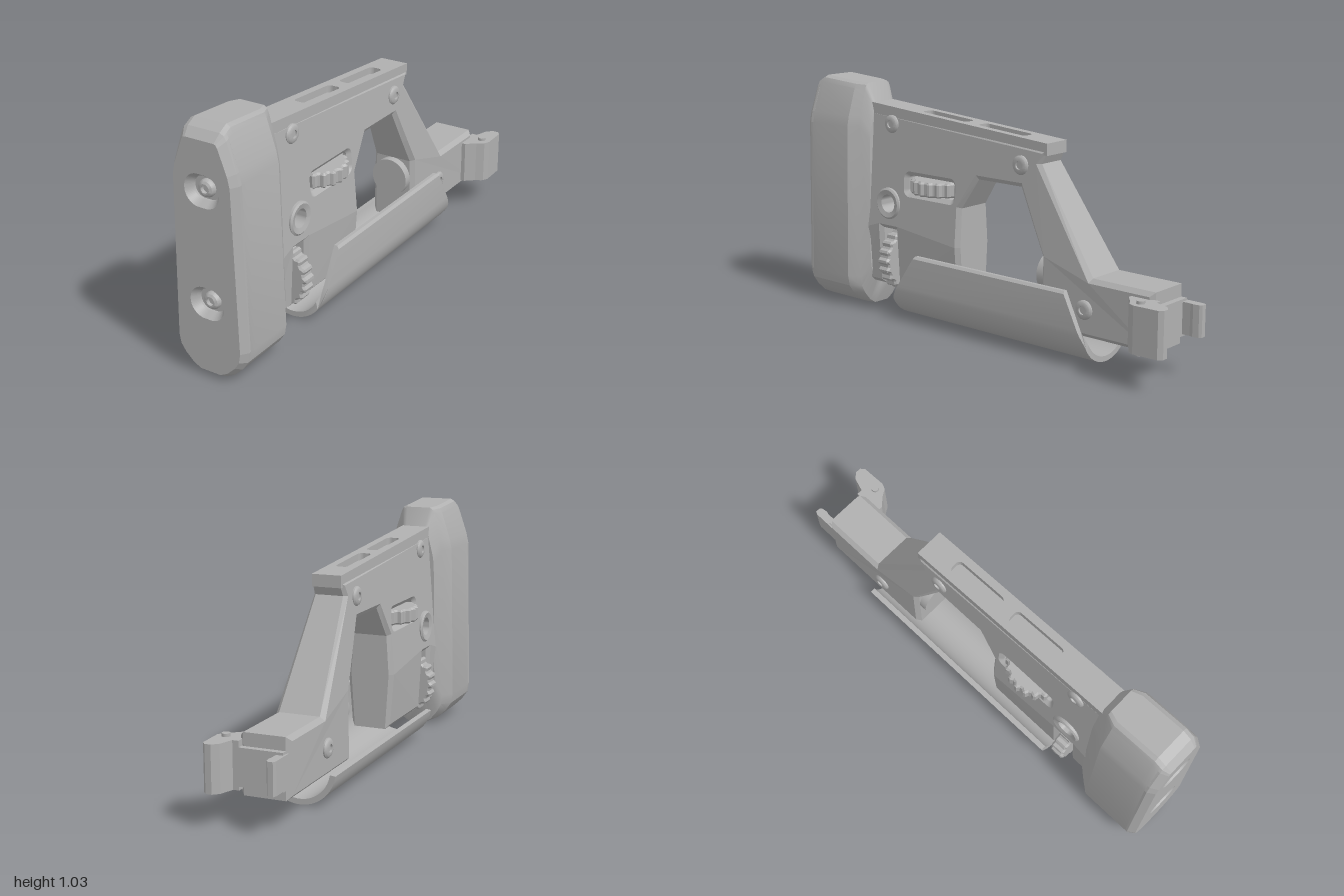
import * as THREE from 'three';
import { toCreasedNormals } from 'three/addons/utils/BufferGeometryUtils.js';

const X0 = -0.023; // centre plane of the stock
const V = (x, y) => new THREE.Vector2(x, y);
const poly = (pts) => new THREE.Shape(pts.map(([a, b]) => V(a, b)));

// Move every vertex by a rule and refresh the normals
function warp(geo, rule) {
  const p = geo.attributes.position, v = new THREE.Vector3();
  for (let i = 0; i < p.count; i++) {
    v.fromBufferAttribute(p, i);
    rule(v);
    p.setXYZ(i, v.x, v.y, v.z);
  }
  geo.computeVertexNormals();
  return geo;
}

// Rounded slot outline, centred at (cx, cy)
function slot(cx, cy, hw, hh, r) {
  const s = new THREE.Path();
  [[1, 1, 0], [-1, 1, 0.5], [-1, -1, 1], [1, -1, 1.5]].forEach(([sx, sy, a]) =>
    s.absarc(cx + sx * (hw - r), cy + sy * (hh - r), r, a * Math.PI, (a + 0.5) * Math.PI, false));
  return s;
}

// Closed solid through rings of equal point count
function loft(rings) {
  const n = rings[0].length, pos = [], idx = [];
  rings.forEach((r) => r.forEach((p) => pos.push(...p)));
  for (let k = 0; k < rings.length - 1; k++) {
    for (let i = 0; i < n; i++) {
      const a = k * n + i, b = k * n + (i + 1) % n;
      idx.push(a, b, b + n, a, b + n, a + n);
    }
  }
  const last = (rings.length - 1) * n;
  for (let i = 1; i < n - 1; i++) idx.push(0, i + 1, i, last, last + i, last + i + 1);
  const g = new THREE.BufferGeometry();
  g.setAttribute('position', new THREE.Float32BufferAttribute(pos, 3));
  g.setIndex(idx);
  return toCreasedNormals(g, 0.4);
}

export function createModel() {
  const grey = new THREE.MeshStandardMaterial({ color: 0xb0b0b0 });
  const model = new THREE.Group();
  const add = (name, geo, x = 0, y = 0, z = 0, parent = model) => {
    const m = new THREE.Mesh(geo, grey);
    m.name = name;
    m.position.set(x, y, z);
    parent.add(m);
    return m;
  };

  // Main frame: side profile (z, y), thinner towards the top
  const frame = poly([
    [0.72, 0.915], [0.645, 0.91], [-0.337, 0.836], [-0.31, 0.78], [-0.593, 0.364], [-0.89, 0.363],
    [-0.89, 0.12], [-0.34, 0.12], [-0.34, 0.41], [-0.285, 0.52], [-0.21, 0.675], [0.02, 0.675],
    [0.11, 0.54], [0.11, 0.37], [0.11, 0.13], [0.49, 0.13], [0.49, 0.39], [0.57, 0.39],
    [0.57, 0.13], [0.72, 0.13], [0.72, 0.37]]);
  frame.holes.push(slot(0.29, 0.605, 0.134, 0.038, 0.015));
  frame.holes.push(new THREE.Path().absarc(0.53, 0.505, 0.05, 0, Math.PI * 2, true));
  const halfWidth = (y, z) => {
    if (y > 0.37) return 0.105 - (y - 0.37) * 0.08;
    return z < 0 ? 0.105 : 0.105 - (0.37 - y) * 0.08;
  };
  const frameGeo = new THREE.ExtrudeGeometry(frame, {
    depth: 0.164, bevelEnabled: true, bevelSize: 0.018, bevelThickness: 0.018,
    bevelOffset: -0.018, bevelSegments: 1, curveSegments: 12 });
  frameGeo.translate(0, 0, -0.082).rotateY(-Math.PI / 2);
  add('frame', warp(frameGeo, (v) => { v.x *= halfWidth(v.y, v.z) / 0.1; }), X0);

  // Sloping top rail with two slots
  const rail = poly([[-0.063, -0.66], [0.063, -0.66], [0.063, 0.337], [-0.063, 0.337]]);
  [-0.255, 0.065].forEach((c) => rail.holes.push(slot(0, c, 0.029, 0.127, 0.02)));
  const railGeo = new THREE.ExtrudeGeometry(rail, { depth: 0.05, bevelEnabled: false, curveSegments: 5 });
  railGeo.rotateX(-Math.PI / 2);
  add('topRail', warp(railGeo, (v) => { v.y += 0.8415 + (v.z + 0.337) * 0.0757 - 0.026; }), X0);

  // Butt pad: half outline (x, y) mirrored, counter-clockwise from the bottom
  const half = [[0.05, 0.01], [0.09, 0.03], [0.13, 0.068], [0.155, 0.105], [0.163, 0.15],
    [0.147, 0.83], [0.137, 0.88], [0.098, 1.01], [0.088, 1.03], [0.07, 1.04]];
  const outline = [...half, ...half.slice().reverse().map(([x, y]) => [-x, y])];
  const topSlope = (y, z) => {
    const t = Math.max(0, (y - 0.85) / 0.19);
    return y - t * (z > 0.93 ? (z - 0.93) * 0.55 : (0.93 - z) * 0.07);
  };
  const ring = (z, sx, y0, y1) => outline.map(([x, y]) =>
    [x * sx, topSlope(y0 + (y - 0.01) / 1.03 * (y1 - y0), z), z]);
  add('buttPad', loft([ring(0.645, 0.62, 0.12, 0.94), ring(0.685, 0.78, 0.01, 1.04),
    ring(0.73, 1, 0.01, 1.04), ring(0.93, 1, 0.01, 1.04), ring(0.96, 1, 0.01, 1.04)]), X0);
  const face = poly(outline);
  const screwHeights = [0.325, 0.787];
  screwHeights.forEach((y) => face.holes.push(slot(0, y, 0.058, 0.046, 0.044)));
  const faceGeo = new THREE.ExtrudeGeometry(face, {
    depth: 0.015, bevelEnabled: true, bevelSize: 0.02, bevelThickness: 0.03,
    bevelOffset: -0.02, bevelSegments: 1, curveSegments: 8 });
  faceGeo.translate(0, 0, 0.955);
  add('buttPadFace', warp(faceGeo, (v) => { v.y = topSlope(v.y, v.z); }), X0);

  // Domed screw with a hexagonal socket, pointing up +y
  const screwGeo = (r, h) => new THREE.LatheGeometry([V(0, h * 0.4), V(r * 0.42, h * 0.4), V(r * 0.42, h),
    V(r * 0.6, h), V(r * 0.85, h * 0.75), V(r, h * 0.3), V(r, -h)].reverse(), 20);
  const padScrew = toCreasedNormals(screwGeo(0.036, 0.025), 0.5).rotateX(Math.PI / 2);
  screwHeights.forEach((y) => add('padScrew', padScrew, X0, y, 0.96));

  // Side screws and through bushing
  for (const s of [1, -1]) {
    [[0.53, 0.855], [-0.21, 0.765], [-0.565, 0.235]].forEach(([z, y]) => {
      const g = toCreasedNormals(screwGeo(0.04, 0.014), 0.5).rotateZ(-s * Math.PI / 2);
      add('sideScrew', g, X0 + s * halfWidth(y, z), y, z);
    });
  }
  const bush = new THREE.LatheGeometry([V(0.04, -0.1), V(0.062, -0.106), V(0.07, -0.1), V(0.07, 0.1),
    V(0.062, 0.106), V(0.04, 0.1), V(0.04, -0.1)], 28);
  add('bushing', toCreasedNormals(bush, 0.5).rotateZ(Math.PI / 2), X0, 0.505, 0.53);

  // Scalloped adjusting wheels
  const teeth = 20, rim = [];
  for (let i = 0; i < teeth * 4; i++) {
    const a = (i / (teeth * 4)) * Math.PI * 2, r = i % 4 < 2 ? 0.142 : 0.131;
    rim.push([Math.cos(a) * r, Math.sin(a) * r]);
  }
  const wheelGeo = new THREE.ExtrudeGeometry(poly(rim), {
    depth: 0.048, bevelEnabled: true, bevelSize: 0.008, bevelThickness: 0.008, bevelOffset: -0.008, bevelSegments: 1 });
  wheelGeo.translate(0, 0, -0.024);
  add('heightWheel', wheelGeo, X0, 0.243, 0.53);
  add('lengthWheel', wheelGeo.clone().rotateX(Math.PI / 2), X0, 0.605, 0.288);

  // Lower cover: J section, tall on the left, open on the right
  const arc = (r) => Array.from({ length: 21 }, (_, i) => {
    const a = -i / 20 * Math.PI * 0.95;
    return [r * Math.cos(a), 0.16 + r * Math.sin(a)];
  });
  const cover = poly([[0.137, 0.305], [0.148, 0.295], ...arc(0.155), ...arc(0.132).reverse(), [0.122, 0.305]]);
  const coverGeo = new THREE.ExtrudeGeometry(cover, { depth: 1, bevelEnabled: false });
  warp(coverGeo, (v) => {
    const t = v.x > 0 ? Math.max(0, (v.y - 0.1) / 0.205) : 0;
    v.z = THREE.MathUtils.lerp(-0.6 + 0.11 * t, 0.463 - 0.135 * t, v.z);
  });
  add('lowerCover', toCreasedNormals(coverGeo, 0.5), X0);

  // Round plug facing into the opening
  add('tubePlug', new THREE.CylinderGeometry(0.085, 0.085, 0.2, 36).rotateX(Math.PI / 2), X0, 0.325, -0.405);

  // Rear hinge: plan (x, z) extruded upwards
  const hinge = new THREE.Group();
  hinge.name = 'hinge';
  model.add(hinge);
  const plan = (pts, y0, y1) => new THREE.ExtrudeGeometry(poly(pts.map(([x, z]) => [x, -z])), {
    depth: y1 - y0, bevelEnabled: false }).rotateX(-Math.PI / 2).translate(0, y0, 0);
  add('hingeKnuckle', plan([[0.07, -0.79], [0.07, -0.915], [0.095, -0.915], [0.115, -0.975], [0.14, -0.997],
    [0.165, -0.997], [0.18, -0.98], [0.183, -0.87], [0.172, -0.845], [0.14, -0.825], [0.1, -0.79]].reverse(),
  0.145, 0.335), 0, 0, 0, hinge);
  add('hingePin', new THREE.CylinderGeometry(0.017, 0.017, 0.215, 16), 0.142, 0.24, -0.875, hinge);
  add('endPlate', new THREE.BoxGeometry(0.18, 0.15, 0.03), -0.02, 0.235, -0.9, hinge);
  add('latchProng', plan([[-0.118, -0.88], [-0.082, -0.88], [-0.082, -0.95], [-0.078, -0.965],
    [-0.082, -0.99], [-0.09, -1], [-0.112, -1], [-0.118, -0.985]], 0.17, 0.3), 0, 0, 0, hinge);

  // Screws under the rear arm
  [-0.68, -0.81].forEach((z) =>
    add('armScrew', toCreasedNormals(screwGeo(0.026, 0.006), 0.5).rotateX(Math.PI), X0, 0.12, z));

  return model;
}
